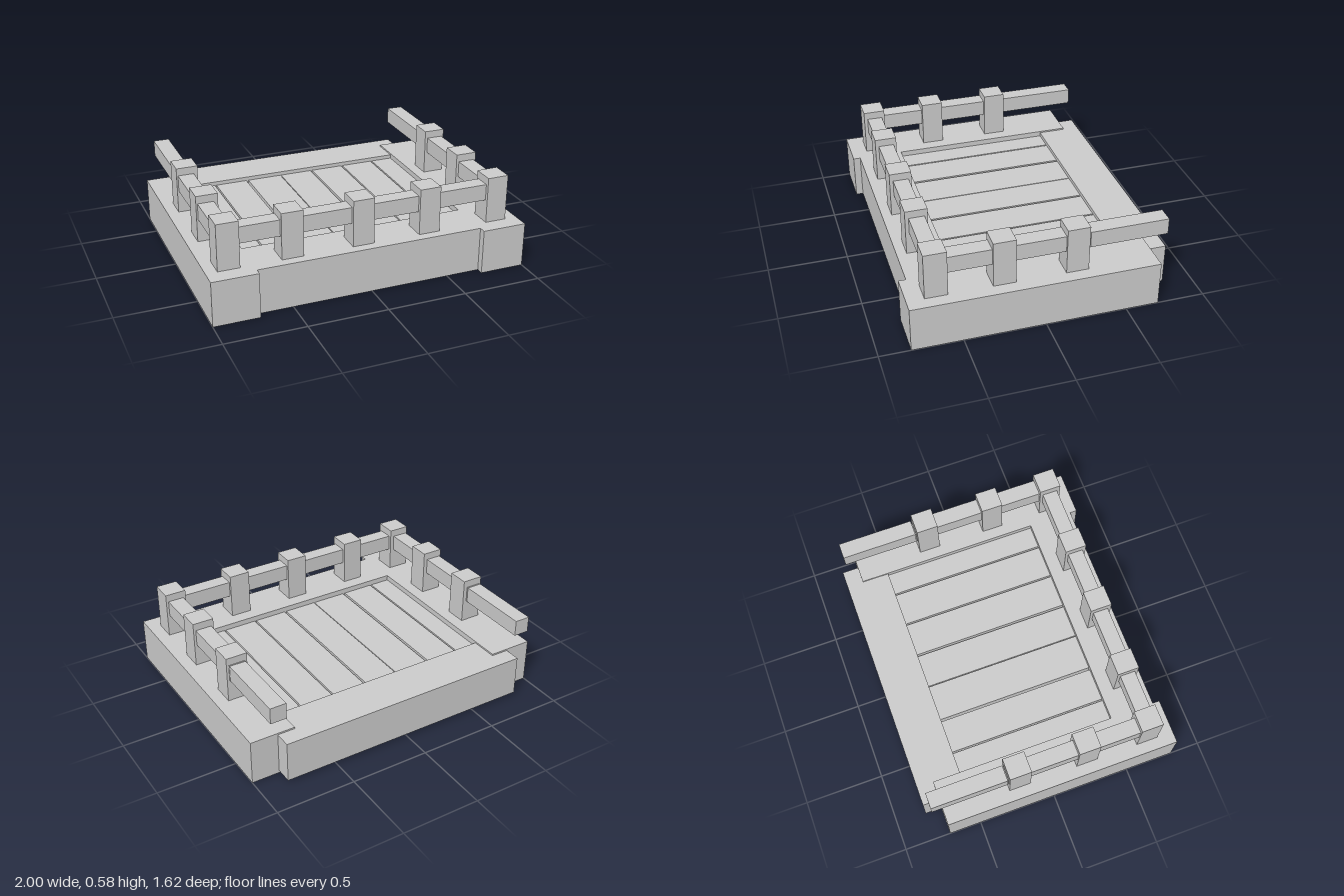
import * as THREE from 'three';

const material = new THREE.MeshStandardMaterial({ color: 0xcccccc, flatShading: true });

// Box given by its extents along each axis
function block(parent, name, [x0, x1], [y0, y1], [z0, z1]) {
  const mesh = new THREE.Mesh(new THREE.BoxGeometry(x1 - x0, y1 - y0, z1 - z0), material);
  mesh.name = name;
  mesh.position.set((x0 + x1) / 2, (y0 + y1) / 2, (z0 + z1) / 2);
  parent.add(mesh);
  return mesh;
}

function section(parent, name) {
  const group = new THREE.Group();
  group.name = name;
  parent.add(group);
  return group;
}

export function createModel() {
  const model = new THREE.Group();
  model.name = 'railedPlatform';

  // Heavy frame beams
  const frame = section(model, 'frame');
  block(frame, 'leftBeam', [0.715, 1], [0, 0.285], [-0.705, 0.81]);
  block(frame, 'rightBeam', [-1, -0.715], [0, 0.285], [-0.705, 0.81]);
  block(frame, 'frontBeam', [-0.715, 0.715], [0, 0.285], [0.48, 0.765]);
  block(frame, 'backBeam', [-0.83, 0.825], [0.015, 0.275], [-0.81, -0.53]);

  // Recessed floor planks with narrow gaps
  const floor = section(model, 'floor');
  const planks = [
    [-0.715, -0.58], [-0.57, -0.36], [-0.345, -0.115], [-0.11, 0.105],
    [0.118, 0.335], [0.345, 0.56], [0.57, 0.715],
  ];
  for (const span of planks) block(floor, 'plank', span, [0.175, 0.25], [-0.53, 0.48]);

  // Posts along the front and both sides
  const railing = section(model, 'railing');
  const postSize = 0.135, rightX = -0.862, leftX = 0.853, frontZ = 0.635;
  const post = (x, z) => block(railing, 'post',
    [x - postSize / 2, x + postSize / 2], [0.285, 0.578], [z - 0.069, z + 0.069]);
  for (const x of [rightX, -0.477, -0.033, 0.398, leftX]) post(x, frontZ);
  for (const x of [rightX, leftX]) for (const z of [0.232, -0.211]) post(x, z);

  // Rails, the side ones running on past the last post
  const railY = [0.427, 0.53];
  block(railing, 'frontRail', [rightX, leftX], railY, [0.585, 0.682]);
  for (const [name, span] of [['rightRail', [-0.92, -0.82]], ['leftRail', [0.802, 0.905]]]) {
    block(railing, name, span, railY, [-0.285, frontZ]);
    block(railing, name + 'End', span, railY, [-0.775, -0.29]);
  }

  return model;
}
